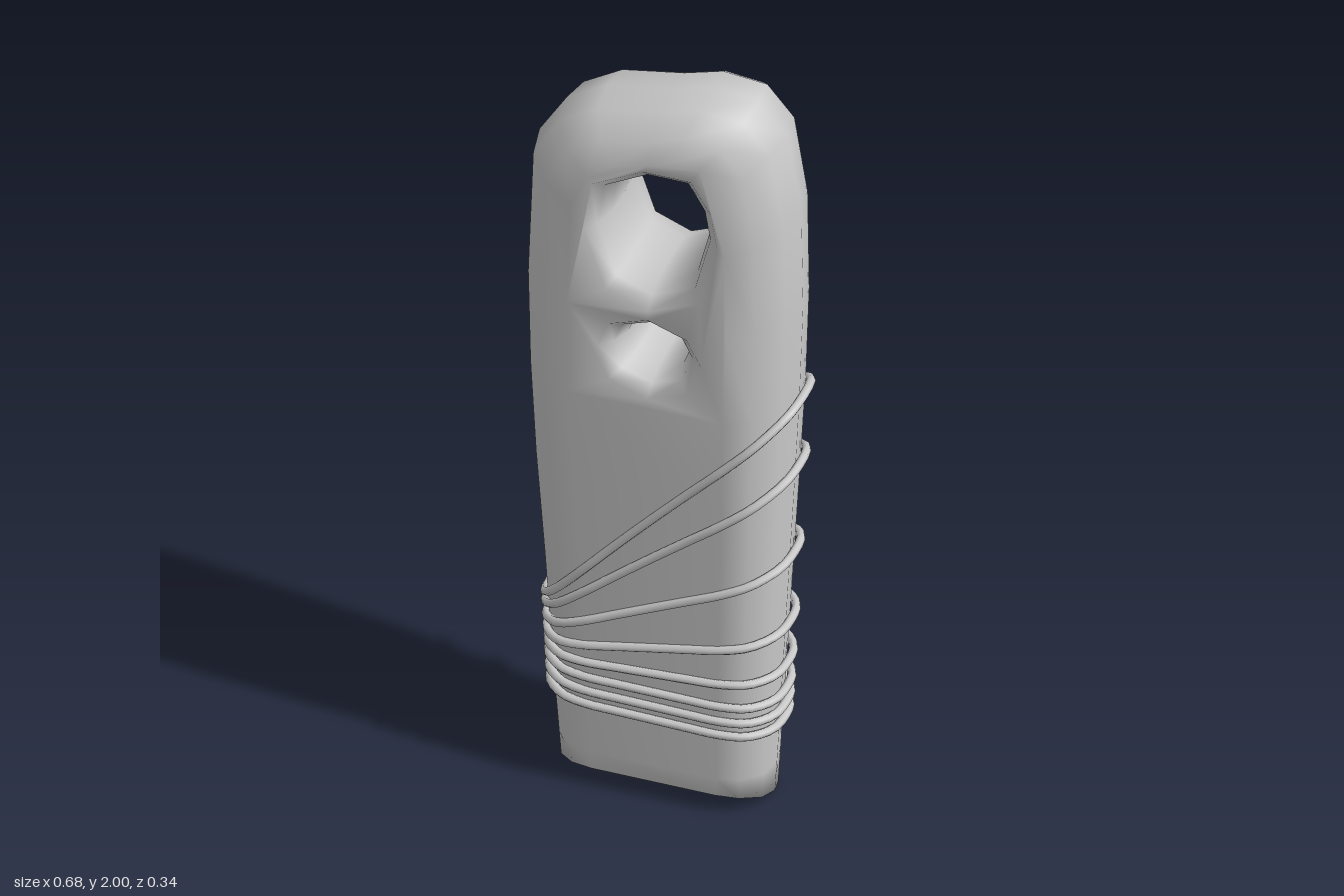
import * as THREE from 'three';

const material = new THREE.MeshStandardMaterial({ color: 0xcccccc });

// Side profile from bottom right, over the top, to bottom left
const outline = [
  [0.26, 0], [0.265, 0.1], [0.275, 0.3], [0.29, 0.6], [0.305, 0.9], [0.317, 1.16], [0.325, 1.42], [0.32, 1.7],
  [0.285, 1.91], [0.215, 1.99], [0.1, 2], [0, 1.97], [-0.16, 1.94], [-0.26, 1.88], [-0.328, 1.77],
  [-0.34, 1.42], [-0.333, 1.16], [-0.32, 0.9], [-0.298, 0.6], [-0.28, 0.3], [-0.265, 0.1], [-0.26, 0],
];
const plainRows = 5; // rows of the profile below the holes

// Depth levels, front to back: depth fraction, inset, height of the bottom edge
const levels = [
  [1, 0.14, 0.05], [0.88, 0.07, 0.045], [0.5, 0.015, 0.03], [0, 0, 0.015],
  [-0.5, 0.015, 0], [-0.88, 0.07, 0.012], [-1, 0.14, 0.05],
];

// Holes, clockwise at their narrowest: centre height, flare in x and y, points
const holes = [
  { cy: 1.645, fx: 1.4, fy: 1.33, points: [[0, -0.155], [-0.075, -0.125], [-0.115, -0.005], [-0.1, 0.095],
    [-0.01, 0.145], [0.075, 0.145], [0.11, 0.085], [0.122, 0.015], [0.09, -0.115]] },
  { cy: 1.305, fx: 1.75, fy: 1.68, points: [[0, -0.07], [-0.055, -0.05], [-0.07, 0.005], [-0.055, 0.045],
    [0, 0.065], [0.055, 0.045], [0.075, 0.005], [0.055, -0.05]] },
];
const flares = [[1, 1], [0.82, 0.45], [0.5, 0.12], [0, 0], [-0.5, 0.12], [-0.82, 0.45], [-1, 1]];

// Thickness grows upwards to the holes, with a slight lean
const depthAt = (f, y) => f * (0.109 + 0.053 * Math.min(1, y / 1.16)) + 0.006 - 0.009 * y;

function outerLoop([f, inset, bottom]) {
  return outline.map(([x, y]) => {
    const py = y > 1.4 ? 1.4 + (y - 1.4) * (1 - inset / 0.72) : Math.max(y, bottom);
    return [x * (1 - inset / 0.34), py, depthAt(f, py)];
  });
}

function holeLoop(hole, [f, k]) {
  return hole.points.map(([x, y]) => {
    const py = hole.cy + y * (1 + (hole.fy - 1) * k);
    return [x * (1 + (hole.fx - 1) * k), py, depthAt(f, py)];
  });
}

// Joins successive closed loops with quads; returns the start of each loop
function addLoops(positions, index, loops) {
  const n = loops[0].length;
  const start = positions.length;
  loops.forEach((loop) => positions.push(...loop));
  for (let l = 0; l < loops.length - 1; l++) {
    for (let j = 0; j < n; j++) {
      const a = start + l * n + j;
      const b = start + l * n + ((j + 1) % n);
      index.push(a, a + n, b, b, a + n, b + n);
    }
  }
  return loops.map((_, l) => start + l * n);
}

function bodyGeometry() {
  const positions = [];
  const index = [];
  const n = outline.length;
  // Rounded rim, slanted lower end and hole walls
  const rimStarts = addLoops(positions, index, levels.map(outerLoop));
  const holeStarts = holes.map((h) => addLoops(positions, index, flares.map((fl) => holeLoop(h, fl))));

  for (const back of [false, true]) {
    const pick = (starts) => starts[back ? starts.length - 1 : 0];
    const addFace = (a, b, c) => index.push(a, back ? c : b, back ? b : c);
    const rim = Array.from({ length: n }, (_, i) => pick(rimStarts) + i);
    // Plain lower face, row by row
    for (let j = 0; j < plainRows; j++) {
      addFace(rim[j], rim[j + 1], rim[n - 2 - j]);
      addFace(rim[j], rim[n - 2 - j], rim[n - 1 - j]);
    }
    // Upper face pierced by the holes
    const rings = [
      rim.slice(plainRows, n - plainRows),
      ...holes.map((h, s) => h.points.map((_, i) => pick(holeStarts[s]) + i)),
    ];
    const flat = rings.map((ring) => ring.map((i) => new THREE.Vector2(positions[i][0], positions[i][1])));
    const all = rings.flat();
    for (const [a, b, c] of THREE.ShapeUtils.triangulateShape(flat[0], flat.slice(1))) {
      addFace(all[a], all[b], all[c]);
    }
  }
  const geometry = new THREE.BufferGeometry();
  geometry.setAttribute('position', new THREE.Float32BufferAttribute(positions.flat(), 3));
  geometry.setIndex(index);
  geometry.computeVertexNormals();
  return geometry;
}

// One cord loop lying in a plane tilted from left height to right height
function cordGeometry(yNeg, yPos) {
  const quarter = [[1, 0], [0.965, 0.48], [0.8, 0.87], [0.58, 0.99], [0.3, 1], [0, 1]];
  const half = [...quarter, ...quarter.slice(0, -1).reverse().map(([u, f]) => [-u, f])];
  const ring = [...half, ...half.slice(1, -1).reverse().map(([u, f]) => [u, -f])];
  const points = ring.map(([u, f]) => {
    const y = THREE.MathUtils.lerp(yNeg, yPos, (u + 1) / 2);
    return new THREE.Vector3(u * (0.273 + 0.047 * y), y, depthAt(f, y) + f * 0.006);
  });
  return new THREE.TubeGeometry(new THREE.CatmullRomCurve3(points, true), 60, 0.011, 7, true);
}

export function createModel() {
  const model = new THREE.Group();
  const add = (name, geometry, parent = model) => {
    const mesh = new THREE.Mesh(geometry, material);
    mesh.name = name;
    parent.add(mesh);
  };
  add('body', bodyGeometry());

  // Cord wrapping: heights at the -x side and the +x side
  const wrapping = new THREE.Group();
  wrapping.name = 'cordWrapping';
  const wraps = [
    [0.485, 1.17], [0.46, 0.97], [0.425, 0.715], [0.39, 0.515],
    [0.36, 0.395], [0.325, 0.32], [0.285, 0.275], [0.247, 0.235],
  ];
  wraps.forEach(([a, b], i) => add(`cordLoop${i + 1}`, cordGeometry(a, b), wrapping));
  model.add(wrapping);
  return model;
}
